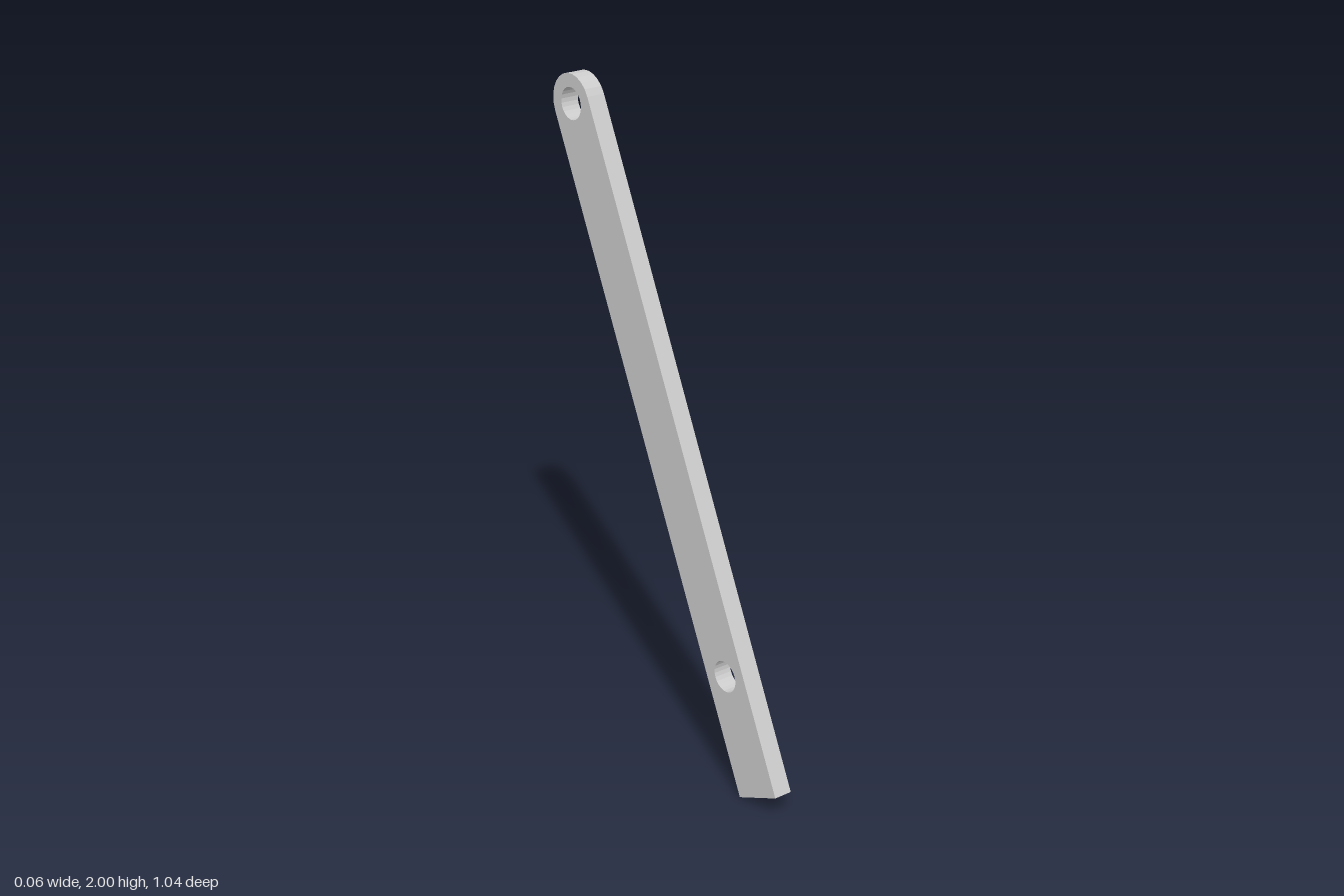
import * as THREE from 'three';

const RADIUS = 0.088;      // half the bar's width and the radius of its round end
const LENGTH = 2.068;      // square end to centre of round end
const THICKNESS = 0.058;
const HOLE_RADIUS = 0.048;
const HOLE_SPACING = 1.702;
const LEAN = THREE.MathUtils.degToRad(25);

// Round hole made of two half arcs
function hole(y) {
  const path = new THREE.Path();
  path.absarc(0, y, HOLE_RADIUS, 0, Math.PI, false);
  path.absarc(0, y, HOLE_RADIUS, Math.PI, 2 * Math.PI, false);
  return path;
}

export function createModel() {
  const model = new THREE.Group();
  model.name = 'drilledBar';

  // Bar outline with the centre of the round end at the origin
  const outline = new THREE.Shape();
  outline.moveTo(-RADIUS, -LENGTH);
  outline.lineTo(RADIUS, -LENGTH);
  outline.lineTo(RADIUS, 0);
  outline.absarc(0, 0, RADIUS, 0, Math.PI, false);
  outline.closePath();
  outline.holes.push(hole(0), hole(-HOLE_SPACING));

  const geometry = new THREE.ExtrudeGeometry(outline, {
    depth: THICKNESS, bevelEnabled: false, curveSegments: 6,
  });

  // Lean the bar, then turn it so its thickness runs along x
  geometry.translate(0, 0, -THICKNESS / 2);
  geometry.rotateZ(-LEAN);
  geometry.rotateY(Math.PI / 2);
  geometry.translate(0, 2 - RADIUS, -0.432);

  const bar = new THREE.Mesh(
    geometry,
    new THREE.MeshStandardMaterial({ color: 0xcccccc, flatShading: true }),
  );
  bar.name = 'bar';
  model.add(bar);
  return model;
}
